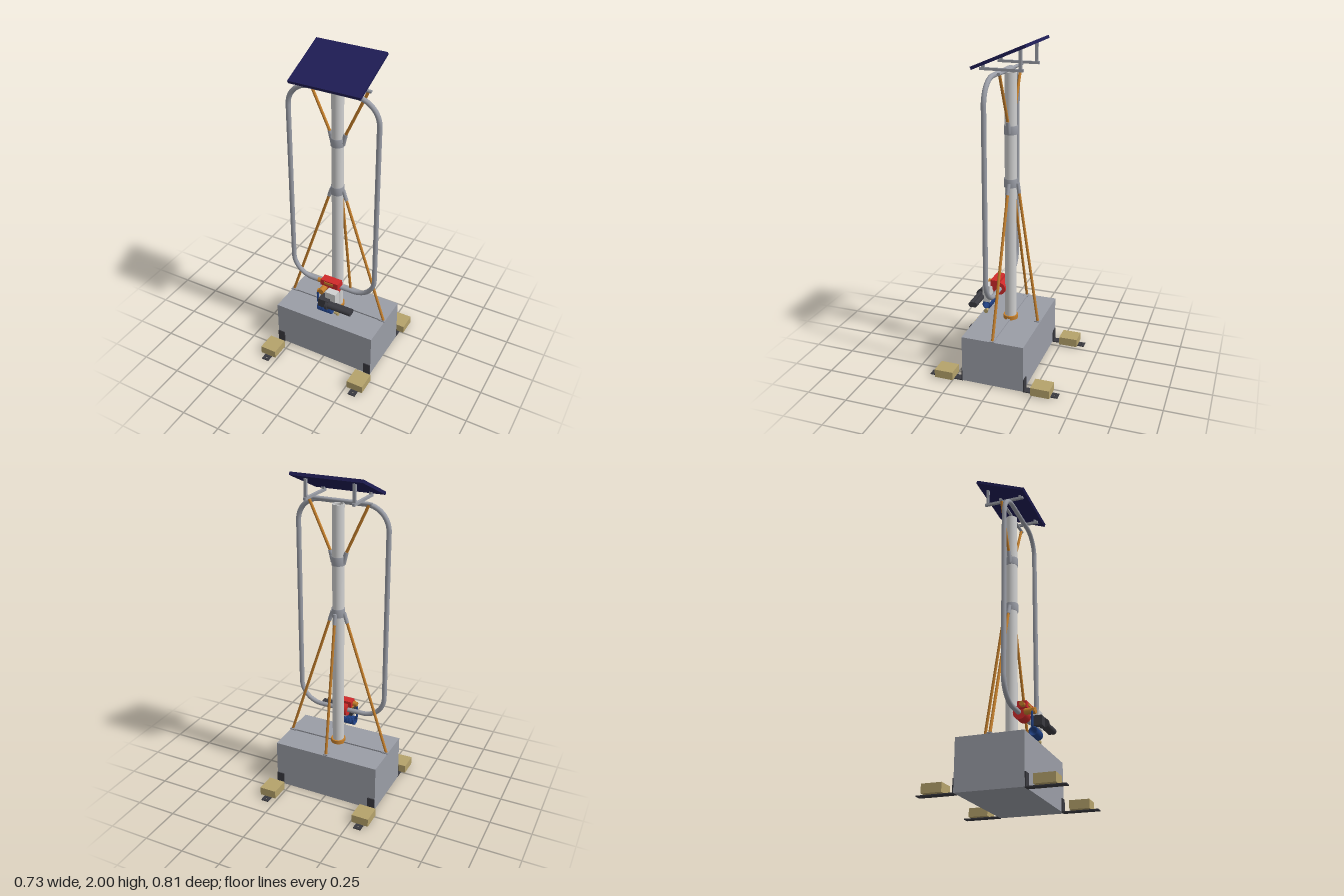
import * as THREE from 'three';

const mat = (name, color) => new THREE.MeshStandardMaterial({ name, color });

export function createModel() {
  const model = new THREE.Group();
  model.name = 'waterStation';
  const M = {
    steel: mat('steelGrey', 0x9a9da6),
    pole: mat('paleGrey', 0xcfcfcf),
    orange: mat('copperOrange', 0xc47f2c),
    panel: mat('navy', 0x1f1d55),
    dark: mat('charcoal', 0x3a3a40),
    tan: mat('tan', 0xb5a26b),
    red: mat('red', 0xcf2a2a),
    blue: mat('blue', 0x1f4084),
  };
  M.pole.side = THREE.DoubleSide; // hollow tube

  const V = (x, y, z) => new THREE.Vector3(x, y, z);
  const add = (name, geo, material, x = 0, y = 0, z = 0) => {
    const m = new THREE.Mesh(geo, material);
    m.name = name;
    m.position.set(x, y, z);
    model.add(m);
    return m;
  };
  // Box given by its lower and upper limits on each axis
  const box = (name, material, [x0, x1], [y0, y1], [z0, z1]) =>
    add(name, new THREE.BoxGeometry(x1 - x0, y1 - y0, z1 - z0), material,
      (x0 + x1) / 2, (y0 + y1) / 2, (z0 + z1) / 2);
  // Round bar between two points
  const rod = (name, material, a, b, r, r2 = r) => {
    const d = b.clone().sub(a);
    const m = add(name, new THREE.CylinderGeometry(r2, r, d.length(), 24), material);
    m.position.copy(a).add(b).multiplyScalar(0.5);
    m.quaternion.setFromUnitVectors(V(0, 1, 0), d.normalize());
    return m;
  };

  // Concrete base
  box('base', M.steel, [-0.336, 0.336], [0.003, 0.295], [-0.192, 0.192]);

  // Ground brackets with a bolt hole, each weighted by a block
  const strip = new THREE.Shape();
  strip.moveTo(-0.0235, 0.19).lineTo(0.0235, 0.19).lineTo(0.0235, 0.403).lineTo(-0.0235, 0.403).closePath();
  const hole = new THREE.Path();
  hole.absarc(0, 0.381, 0.006, 0, Math.PI * 2, true);
  strip.holes.push(hole);
  const stripGeo = new THREE.ExtrudeGeometry(strip, { depth: 0.006, bevelEnabled: false, curveSegments: 16 });
  stripGeo.rotateX(Math.PI / 2).translate(0, 0.006, 0);
  for (const sx of [-1, 1]) for (const sz of [-1, 1]) {
    const x = sx * 0.3125;
    add('bracketStrip', stripGeo, M.dark, x).rotation.y = sz > 0 ? 0 : Math.PI;
    add('bracketUpright', new THREE.BoxGeometry(0.047, 0.08, 0.006), M.dark, x, 0.04, sz * 0.195);
    add('weightBlock', new THREE.BoxGeometry(0.105, 0.051, 0.116), M.tan, x, 0.0325, sz * 0.303);
  }

  // Mast: hollow tube, foot ring and two clamps
  const tube = [[0.028, 0.295], [0.035, 0.295], [0.035, 1.815], [0.028, 1.815], [0.028, 0.295]];
  const lathe = new THREE.LatheGeometry(tube.slice(1, 3).map(p => new THREE.Vector2(...p)), 40);
  add('mast', lathe, M.pole);
  const rim = add('mastRim', new THREE.RingGeometry(0.028, 0.035, 40), M.pole, 0, 1.815, 0);
  rim.rotation.x = -Math.PI / 2;
  add('mastBore', new THREE.CylinderGeometry(0.028, 0.028, 1.52, 32, 1, true), M.pole, 0, 1.055, 0);
  rod('footRing', M.orange, V(0, 0.295, 0), V(0, 0.319, 0), 0.045);
  for (const y of [1.175, 1.49])
    add('clamp', new THREE.LatheGeometry([[0.034, -0.025], [0.04, -0.025], [0.04, 0.025], [0.034, 0.025]]
      .map(p => new THREE.Vector2(...p)), 32), M.steel, 0, y, 0);

  // Braces: lower three to the base, upper two to the crossbar, with clamp lugs
  const brace = (a, b) => {
    rod('brace', M.orange, a, b, 0.0085);
    rod('braceLug', M.steel, a.clone().lerp(b, -0.055), a.clone().lerp(b, 0.02), 0.0115);
  };
  for (const s of [-1, 1]) {
    brace(V(s * 0.052, 1.13, 0), V(s * 0.325, 0.3, 0));
    brace(V(s * 0.047, 1.535, 0), V(s * 0.185, 1.835, 0));
    rod('clampLug', M.steel, V(s * 0.034, 1.475, 0), V(s * 0.051, 1.545, 0), 0.012);
    box('footPlate', M.steel, [s * 0.3175 - 0.0225, s * 0.3175 + 0.0225], [0.295, 0.302], [-0.0135, 0.0135]);
  }
  brace(V(0, 1.13, -0.05), V(0, 0.3, -0.175));
  box('rearFootPlate', M.steel, [-0.0135, 0.0135], [0.295, 0.302], [-0.188, -0.155]);
  box('baseRail', M.steel, [-0.33, 0.33], [0.295, 0.304], [-0.009, 0.009]);

  // Closed pipe loop with rounded corners
  const loop = new THREE.CurvePath();
  const [lx, yLow, yTop, R] = [0.28, 0.5, 1.815, 0.14];
  const corners = [[lx, yLow], [lx, yTop], [-lx, yTop], [-lx, yLow]];
  const dirs = [[0, 1], [-1, 0], [0, -1], [1, 0]];
  corners.forEach(([x, y], i) => {
    const din = dirs[(i + 3) % 4], out = dirs[i], next = corners[(i + 1) % 4];
    const start = V(x - din[0] * R, y - din[1] * R, 0), end = V(x + out[0] * R, y + out[1] * R, 0);
    const k = 0.4477 * R;
    loop.add(new THREE.CubicBezierCurve3(start, V(x - din[0] * k, y - din[1] * k, 0),
      V(x + out[0] * k, y + out[1] * k, 0), end));
    loop.add(new THREE.LineCurve3(end, V(next[0] - out[0] * R, next[1] - out[1] * R, 0)));
  });
  add('pipeLoop', new THREE.TubeGeometry(loop, 240, 0.0145, 16, true), M.steel, 0, 0, 0.056);

  // Solar panel and its frame
  const panel = add('solarPanel', new THREE.BoxGeometry(0.43, 0.018, 0.336), M.panel, 0, 1.926, 0);
  panel.rotation.x = THREE.MathUtils.degToRad(23);
  rod('crossbar', M.steel, V(-0.2, 1.834, 0), V(0.2, 1.834, 0), 0.0095);
  for (const s of [-1, 1]) {
    const x = s * 0.145;
    box('panelArm', M.steel, [x - 0.008, x + 0.008], [1.844, 1.859], [-0.122, 0.128]);
    box('panelPost', M.steel, [x - 0.008, x + 0.008], [1.85, 1.963], [-0.113, -0.097]);
    box('panelFrontPost', M.steel, [x - 0.008, x + 0.008], [1.85, 1.872], [0.1, 0.116]);
  }

  // Pump: red round housing and top block on the loop pipe
  rod('pumpHousing', M.red, V(-0.04, 0.5, 0.062), V(0.045, 0.5, 0.062), 0.041);
  box('pumpTop', M.red, [-0.06, 0.06], [0.517, 0.557], [0.055, 0.11]);
  box('pumpLabelPlate', M.orange, [-0.035, 0.028], [0.532, 0.549], [0.109, 0.114]);
  rod('pumpInlet', M.orange, V(-0.088, 0.532, 0.09), V(-0.058, 0.532, 0.09), 0.014);
  rod('pumpOutlet', M.orange, V(-0.035, 0.5, 0.09), V(-0.035, 0.5, 0.155), 0.019);
  rod('pumpElbow', M.orange, V(-0.062, 0.495, 0.142), V(-0.03, 0.495, 0.142), 0.013);

  // Control box and motor
  box('controlBox', M.pole, [0, 0.07], [0.41, 0.516], [0.112, 0.16]);
  box('motorMount', M.dark, [-0.035, 0.035], [0.415, 0.472], [0.125, 0.19]);
  rod('motorShaft', M.dark, V(0.02, 0.441, 0.165), V(0.19, 0.441, 0.165), 0.017);
  rod('motor', M.dark, V(0.02, 0.441, 0.185), V(0.19, 0.441, 0.185), 0.018);
  rod('motorCap', M.dark, V(0.02, 0.441, 0.185), V(0.036, 0.441, 0.185), 0.027);

  // Coiled hose with feed pipe and nozzle
  const turns = 10, pts = [];
  for (let i = 0; i <= turns * 12; i++) {
    const a = i / 12 * Math.PI * 2;
    pts.push(V(-0.053 + 0.098 * i / (turns * 12), 0.377 + 0.024 * Math.cos(a), 0.143 + 0.024 * Math.sin(a)));
  }
  add('hoseCoil', new THREE.TubeGeometry(new THREE.CatmullRomCurve3(pts), 360, 0.0052, 8), M.blue);
  const feed = new THREE.CatmullRomCurve3([V(-0.045, 0.495, 0.142), V(-0.06, 0.485, 0.142), V(-0.062, 0.44, 0.142),
    V(-0.06, 0.405, 0.142), V(-0.05, 0.4, 0.143)]);
  add('hoseFeed', new THREE.TubeGeometry(feed, 30, 0.007, 10), M.blue);
  rod('nozzle', M.tan, V(0.08, 0.352, 0.135), V(0.045, 0.352, 0.135), 0.014, 0.005);
  return model;
}
